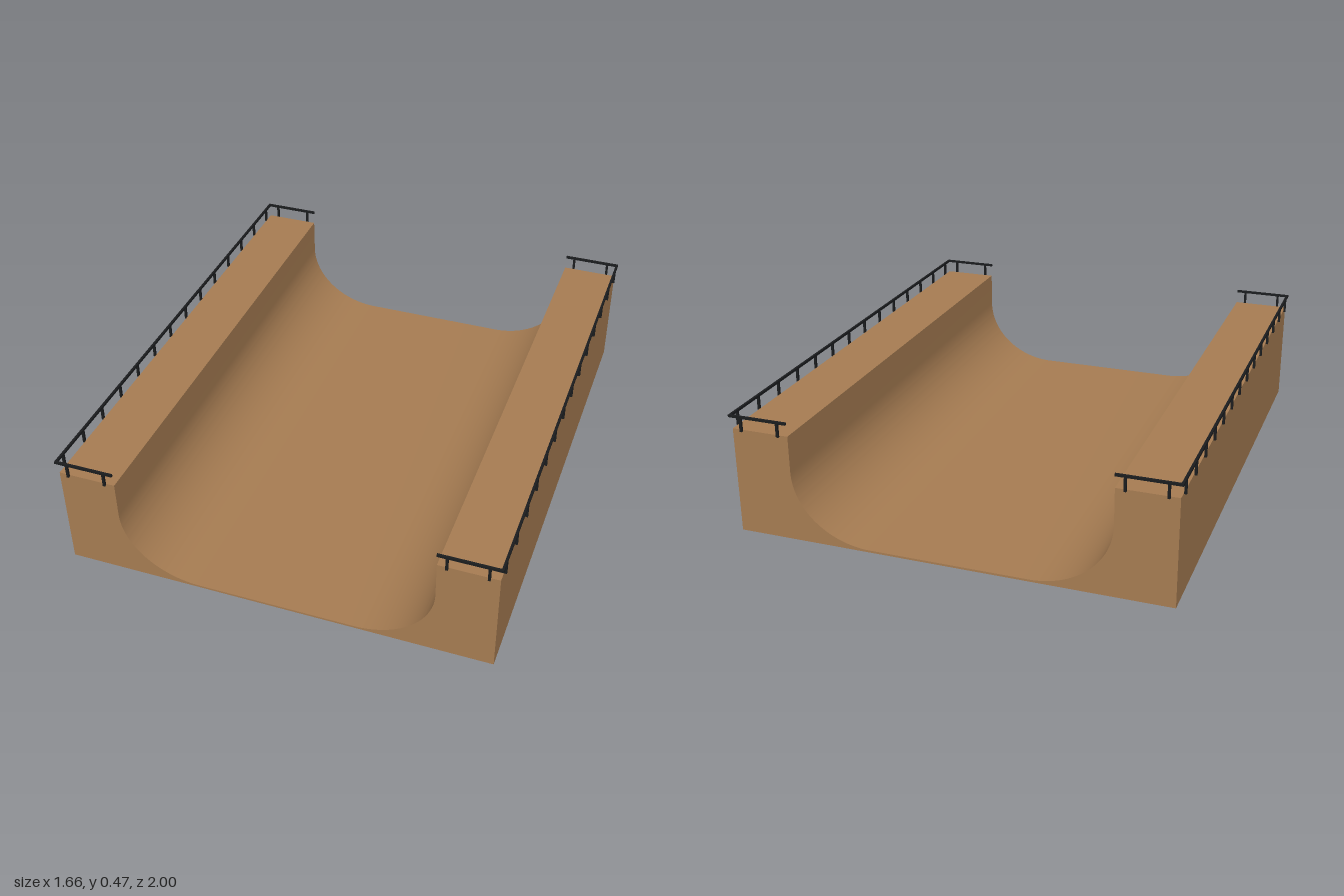
import * as THREE from 'three';
import { toCreasedNormals } from 'three/addons/utils/BufferGeometryUtils.js';

const HALF_W = 0.82, HALF_L = 0.99, DECK_Y = 0.41;
const LIP_X = 0.6, FLAT_X = 0.3, FLOOR_Y = 0.008, CURVE_TOP = 0.27;
const RAIL_Y = 0.461, BAR = 0.009;

export function createModel() {
  const model = new THREE.Group();
  model.name = 'halfPipe';
  const wood = new THREE.MeshStandardMaterial({ color: 0xa67c52 });
  wood.name = 'wood brown';
  const metal = new THREE.MeshStandardMaterial({ color: 0x1a1c1e });
  metal.name = 'rail black';

  // Ramp body: U-shaped section with quarter-ellipse transitions
  const s = new THREE.Shape();
  const rx = LIP_X - FLAT_X, ry = CURVE_TOP - FLOOR_Y;
  s.moveTo(-HALF_W, 0);
  s.lineTo(HALF_W, 0);
  s.lineTo(HALF_W, DECK_Y);
  s.lineTo(LIP_X, DECK_Y);
  s.lineTo(LIP_X, CURVE_TOP);
  s.absellipse(FLAT_X, CURVE_TOP, rx, ry, 0, -Math.PI / 2, true);
  s.lineTo(-FLAT_X, FLOOR_Y);
  s.absellipse(-FLAT_X, CURVE_TOP, rx, ry, -Math.PI / 2, -Math.PI, true);
  s.lineTo(-LIP_X, DECK_Y);
  s.lineTo(-HALF_W, DECK_Y);
  s.closePath();
  const bodyGeo = new THREE.ExtrudeGeometry(s, { depth: HALF_L * 2, bevelEnabled: false, curveSegments: 24 });
  bodyGeo.translate(0, 0, -HALF_L);
  const body = new THREE.Mesh(toCreasedNormals(bodyGeo, 0.5), wood);
  body.name = 'rampBody';
  model.add(body);

  const bar = (parent, name, w, h, d, x, y, z) => {
    const mesh = new THREE.Mesh(new THREE.BoxGeometry(w, h, d), metal);
    mesh.name = name;
    mesh.position.set(x, y, z);
    parent.add(mesh);
  };
  const postBase = DECK_Y - 0.005;
  const postH = RAIL_Y - postBase, postY = (RAIL_Y + postBase) / 2;

  for (const side of [1, -1]) {
    // Long guard rail on the outer edge of each deck
    const sideRail = new THREE.Group();
    sideRail.name = side > 0 ? 'leftGuardRail' : 'rightGuardRail';
    const railX = side * (HALF_W + BAR / 2);
    bar(sideRail, 'topRail', BAR, BAR, 2, railX, RAIL_Y, 0);
    for (let i = 0; i < 14; i++) {
      bar(sideRail, 'post', BAR, postH, BAR, railX, postY, -0.945 + (i * 1.89) / 13);
    }
    model.add(sideRail);

    // Short rails closing both ends of the deck
    for (const end of [1, -1]) {
      const endRail = new THREE.Group();
      endRail.name = (end > 0 ? 'front' : 'back') + (side > 0 ? 'Left' : 'Right') + 'EndRail';
      const railZ = end * (HALF_L + 0.0055);
      const outer = HALF_W + BAR;
      bar(endRail, 'topRail', outer - LIP_X, BAR, BAR, side * (outer + LIP_X) / 2, RAIL_Y, railZ);
      for (const x of [0.636, 0.782]) {
        bar(endRail, 'post', BAR, postH, BAR, side * x, postY, railZ);
      }
      model.add(endRail);
    }
  }
  return model;
}
